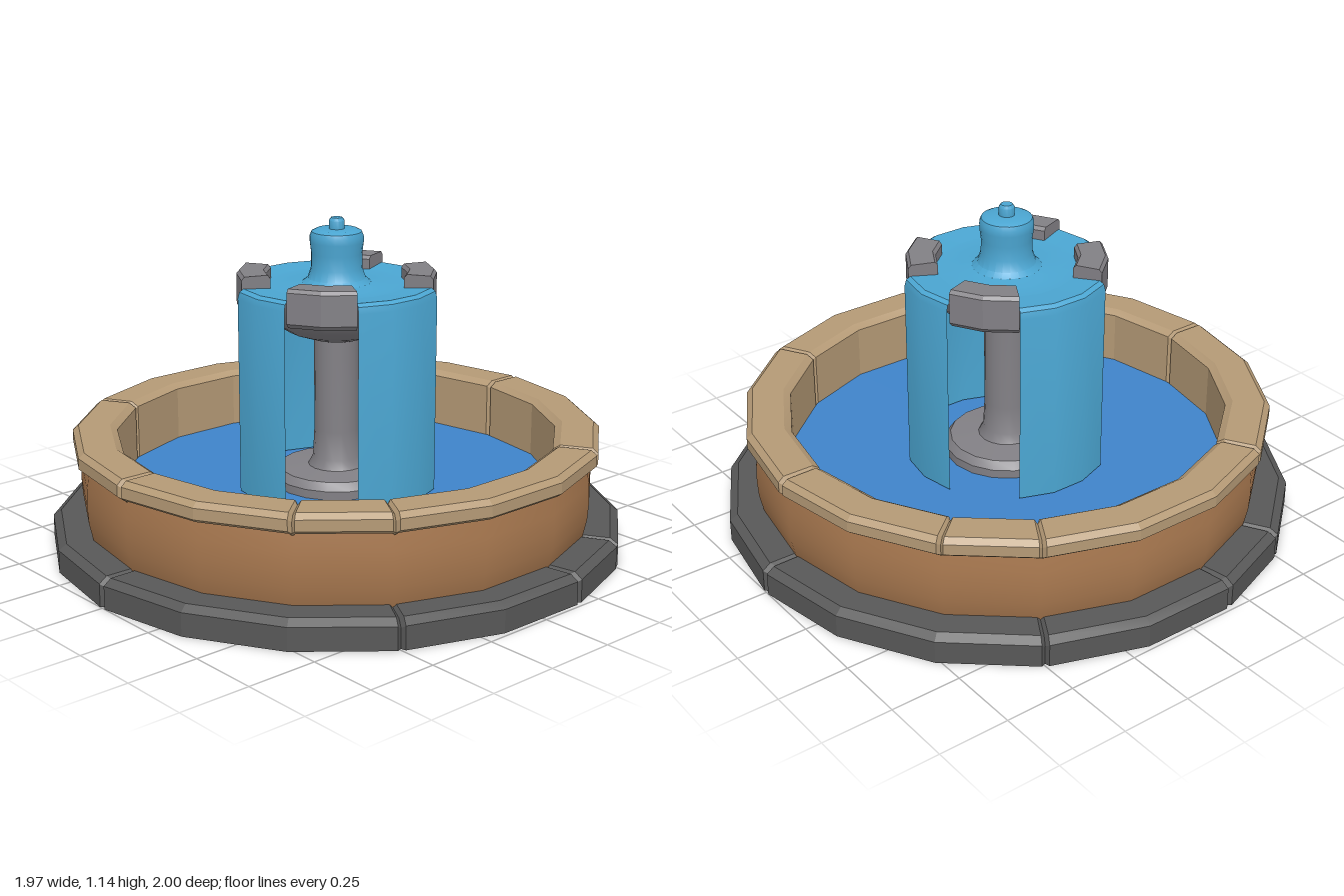
import * as THREE from 'three';
import { toCreasedNormals } from 'three/addons/utils/BufferGeometryUtils.js';

const SIDES = 18;
const rad = THREE.MathUtils.degToRad;

function makeMaterial(name, color) {
  const m = new THREE.MeshStandardMaterial({ color, side: THREE.DoubleSide });
  m.name = name;
  return m;
}

// Sweep an (r, y) profile around the y axis through stations of [degrees, inset].
// A positive inset pulls the profile in, which cuts a groove between stones.
function sweep(profile, stations, capped) {
  const rs = profile.map((p) => p[0]), ys = profile.map((p) => p[1]);
  const midR = (Math.min(...rs) + Math.max(...rs)) / 2;
  const midY = (Math.min(...ys) + Math.max(...ys)) / 2;
  const n = profile.length, pos = [], idx = [];
  for (const [deg, inset] of stations) {
    const a = rad(deg);
    for (const [r0, y0] of profile) {
      const r = r0 + Math.sign(midR - r0) * inset;
      const y = y0 > midY ? y0 - inset * 0.8 : y0;
      pos.push(r * Math.sin(a), y, r * Math.cos(a));
    }
  }
  for (let j = 0; j < stations.length - 1; j++) {
    for (let i = 0; i < n - 1; i++) {
      const a = j * n + i, b = a + n;
      idx.push(a, b, a + 1, b, b + 1, a + 1);
    }
  }
  if (capped) {
    const e = (stations.length - 1) * n;
    for (let i = 1; i < n - 2; i++) idx.push(0, i, i + 1, e, e + i + 1, e + i);
  }
  const g = new THREE.BufferGeometry();
  g.setAttribute('position', new THREE.Float32BufferAttribute(pos, 3));
  g.setIndex(idx);
  return toCreasedNormals(g, 0.2);
}

// Faceted full ring of stones with a groove at each joint angle
function stoneRing(profile, joints) {
  const stations = [];
  for (let d = 0; d <= 360; d += 360 / SIDES) {
    if (joints.includes(d % 360)) stations.push([d - 0.7, 0], [d, 0.014], [d + 0.7, 0]);
    else stations.push([d, 0]);
  }
  return sweep(profile, stations, false);
}

function lathe(points, segments = SIDES, start = 0, length = 360) {
  const pts = points.map(([r, y]) => new THREE.Vector2(r, y));
  return toCreasedNormals(new THREE.LatheGeometry(pts, segments, rad(start), rad(length)), 0.6);
}

export function createModel() {
  const group = new THREE.Group();
  const darkStone = makeMaterial('dark stone', 0x585858);
  const clay = makeMaterial('brown clay', 0xa8784f);
  const tanStone = makeMaterial('tan stone', 0xb59a76);
  const greyStone = makeMaterial('grey stone', 0x828085);
  const poolWater = makeMaterial('pool water', 0x3f84ca);
  const fallWater = makeMaterial('falling water', 0x4ba6d2);

  const add = (name, geometry, material) => {
    const mesh = new THREE.Mesh(geometry, material);
    mesh.name = name;
    group.add(mesh);
    return mesh;
  };

  // Ground ring, open underneath
  add('baseRing', stoneRing(
    [[1, 0], [1, 0.08], [0.972, 0.1], [0.82, 0.1], [0.8, 0.085], [0.8, 0]],
    [0, 60, 100, 120, 180, 240, 280, 300]), darkStone);

  // Bulging basin wall
  add('basinWall', lathe(
    [[0.865, 0.06], [0.88, 0.1], [0.893, 0.16], [0.897, 0.22], [0.895, 0.28], [0.885, 0.35]]), clay);

  // Coping stones with the inner lining
  add('basinRim', stoneRing(
    [[0.86, 0.345], [0.905, 0.345], [0.92, 0.357], [0.92, 0.395], [0.9, 0.412],
      [0.79, 0.412], [0.765, 0.395], [0.765, 0.19]],
    [0, 40, 60, 120, 180, 220, 240, 300]), tanStone);

  // Floor and pool surface
  const disc = (r) => new THREE.CircleGeometry(r, SIDES).rotateX(-Math.PI / 2).rotateY(Math.PI / 2);
  add('basinFloor', disc(0.77), tanStone).position.y = 0.195;
  add('poolSurface', disc(0.765), poolWater).position.y = 0.205;

  // Pedestal foot, column and bowl
  add('pedestal', lathe(
    [[0.22, 0.127], [0.22, 0.235], [0.2, 0.262], [0.1, 0.268], [0.083, 0.3],
      [0.078, 0.4], [0.078, 0.75]]), greyStone);
  add('upperBowl', lathe(
    [[0.05, 0.715], [0.1, 0.73], [0.17, 0.755], [0.225, 0.79], [0.265, 0.83], [0.29, 0.9]]), greyStone);

  // Four lip stones between the spills
  const lip = [[0.24, 0.83], [0.33, 0.83], [0.342, 0.845], [0.342, 0.95], [0.332, 0.962],
    [0.25, 0.962], [0.24, 0.95], [0.24, 0.83]];
  for (const start of [20, 120, 200, 300]) {
    add('bowlLip', sweep(lip, [[start, 0], [start + 20, 0], [start + 40, 0]], true), greyStone);
  }

  // Water in the bowl and the four falling sheets
  add('bowlWater', lathe([[0.25, 0.915], [0.17, 0.912], [0.11, 0.922], [0, 0.93]]), fallWater);
  const sheet = [[0.356, 0.21], [0.356, 0.89], [0.35, 0.912], [0.335, 0.922], [0.24, 0.915]];
  for (const [start, width] of [[-20, 40], [60, 60], [160, 40], [240, 60]]) {
    add('waterSheet', lathe(sheet, width / 20, start, width), fallWater);
  }

  // Central jet
  add('waterJet', lathe(
    [[0.125, 0.915], [0.1, 0.935], [0.088, 0.97], [0.087, 1.02], [0.092, 1.06], [0.092, 1.08],
      [0.086, 1.095], [0.07, 1.103], [0.027, 1.104]], 24), fallWater);
  add('jetTip', lathe([[0.027, 1.1], [0.027, 1.132], [0.02, 1.142], [0, 1.143]], 12), fallWater);

  return group;
}
